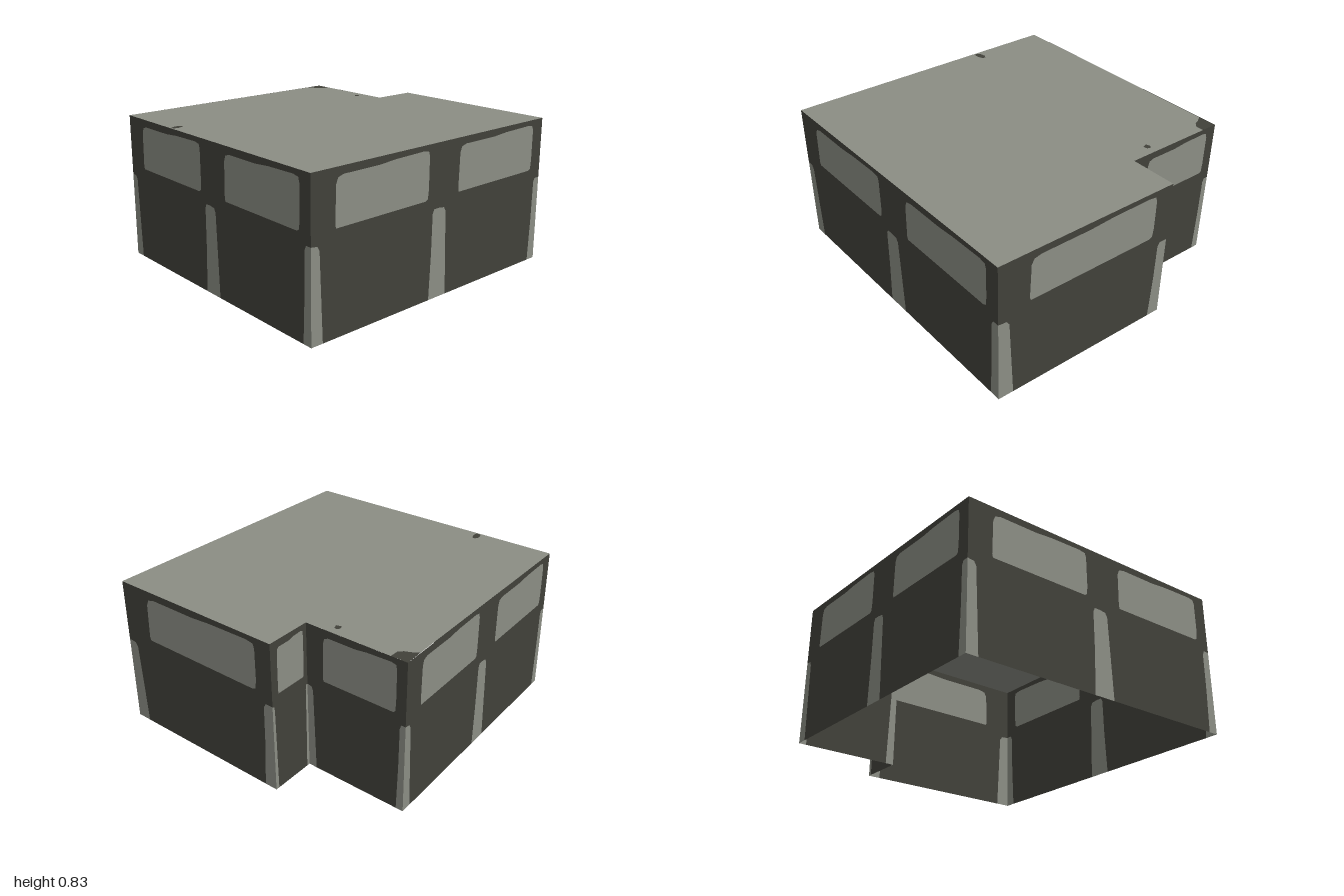
import * as THREE from 'three';

const HEIGHT = 0.83;

// Footprint corners [x, z], running counter-clockwise seen from above
const F = [-0.995, 0.52], E = [0.572, 0.995], D = [0.99, -0.695];
const C = [-0.025, -1], B = [-0.088, -0.745], A = [-0.66, -0.915];

// One repeating bay of the facade: [fraction of bay width, height]
const WINDOW = [[0.17, 0.56], [0.176, 0.542], [0.88, 0.542], [0.898, 0.552], [0.904, 0.6], [0.904, 0.77],
  [0.895, 0.795], [0.85, 0.802], [0.62, 0.798], [0.5, 0.79], [0.23, 0.79], [0.19, 0.78], [0.176, 0.75]];
const PILLAR_RIGHT_HALF = [[0, 0.488], [0.045, 0.483], [0.06, 0.46], [0.07, 0.25], [0.082, 0]];
const PILLAR_LEFT_HALF = [[0.93, 0], [0.942, 0.25], [0.945, 0.465], [0.958, 0.488], [1, 0.488]];

const toShape = (pts) => new THREE.Shape(pts.map(([x, y]) => new THREE.Vector2(x, y)));

export function createModel() {
  const model = new THREE.Group();
  model.name = 'building';

  const darkWall = new THREE.MeshStandardMaterial({ color: 0x41413a, side: THREE.DoubleSide });
  darkWall.name = 'dark wall';
  const paleGrey = new THREE.MeshStandardMaterial({ color: 0x8b8d84, side: THREE.DoubleSide });
  paleGrey.name = 'pale grey';

  const addMesh = (parent, name, shapes, material) => {
    const mesh = new THREE.Mesh(new THREE.ShapeGeometry(shapes), material);
    mesh.name = name;
    parent.add(mesh);
    return mesh;
  };

  // A wall sheet from p to q, with windows and pillars cut out and filled in pale grey
  function addWall(name, p, q, bays) {
    const dx = q[0] - p[0], dz = q[1] - p[1];
    const length = Math.hypot(dx, dz), bay = length / bays;
    const wall = new THREE.Group();
    wall.name = name;
    wall.position.set(p[0], 0, p[1]);
    wall.rotation.y = Math.atan2(-dz, dx);

    const outline = [], windows = [], pillars = [];
    for (let i = 0; i < bays; i++) {
      const place = (pts) => pts.map(([t, y]) => [(i + t) * bay, y]);
      const right = place(PILLAR_RIGHT_HALF), left = place(PILLAR_LEFT_HALF);
      outline.push(...right, ...left);
      pillars.push(toShape([[i * bay, 0], ...right]), toShape([...left, [(i + 1) * bay, 0]]));
      windows.push(toShape(place(WINDOW)));
    }
    outline.push([length, HEIGHT], [0, HEIGHT]);
    const sheet = toShape(outline);
    sheet.holes.push(...windows);

    addMesh(wall, name + 'Panel', sheet, darkWall);
    addMesh(wall, name + 'Windows', windows, paleGrey);
    addMesh(wall, name + 'Pillars', pillars, paleGrey);
    model.add(wall);
  }

  addWall('frontWall', F, E, 2);
  addWall('leftWall', E, D, 2);
  addWall('backWall', D, C, 1);
  addWall('notchWall', C, B, 1);
  addWall('recessedBackWall', B, A, 1);
  addWall('rightWall', A, F, 2);

  // Flat roof with three dark stains set into it
  const flat = (pts) => toShape(pts.map(([x, z]) => [x, -z]));
  const cornerEdge = [[-0.57, -0.888], [-0.583, -0.84], [-0.61, -0.825], [-0.64, -0.822], [-0.682, -0.81]];
  const stains = [
    flat([[-0.262, -0.715], [-0.232, -0.715], [-0.232, -0.74], [-0.247, -0.75], [-0.262, -0.74]]),
    flat([[-0.56, 0.645], [-0.54, 0.648], [-0.53, 0.62], [-0.533, 0.582], [-0.55, 0.572], [-0.567, 0.59], [-0.57, 0.625]]),
  ];
  const roofShape = flat([F, E, D, C, B, ...cornerEdge]);
  roofShape.holes.push(...stains);
  const roof = addMesh(model, 'roof', roofShape, paleGrey);
  const roofStains = addMesh(model, 'roofStains', [...stains, flat([A, ...[...cornerEdge].reverse()])], darkWall);
  for (const mesh of [roof, roofStains]) {
    mesh.geometry.rotateX(-Math.PI / 2);
    mesh.position.y = HEIGHT;
  }
  return model;
}
